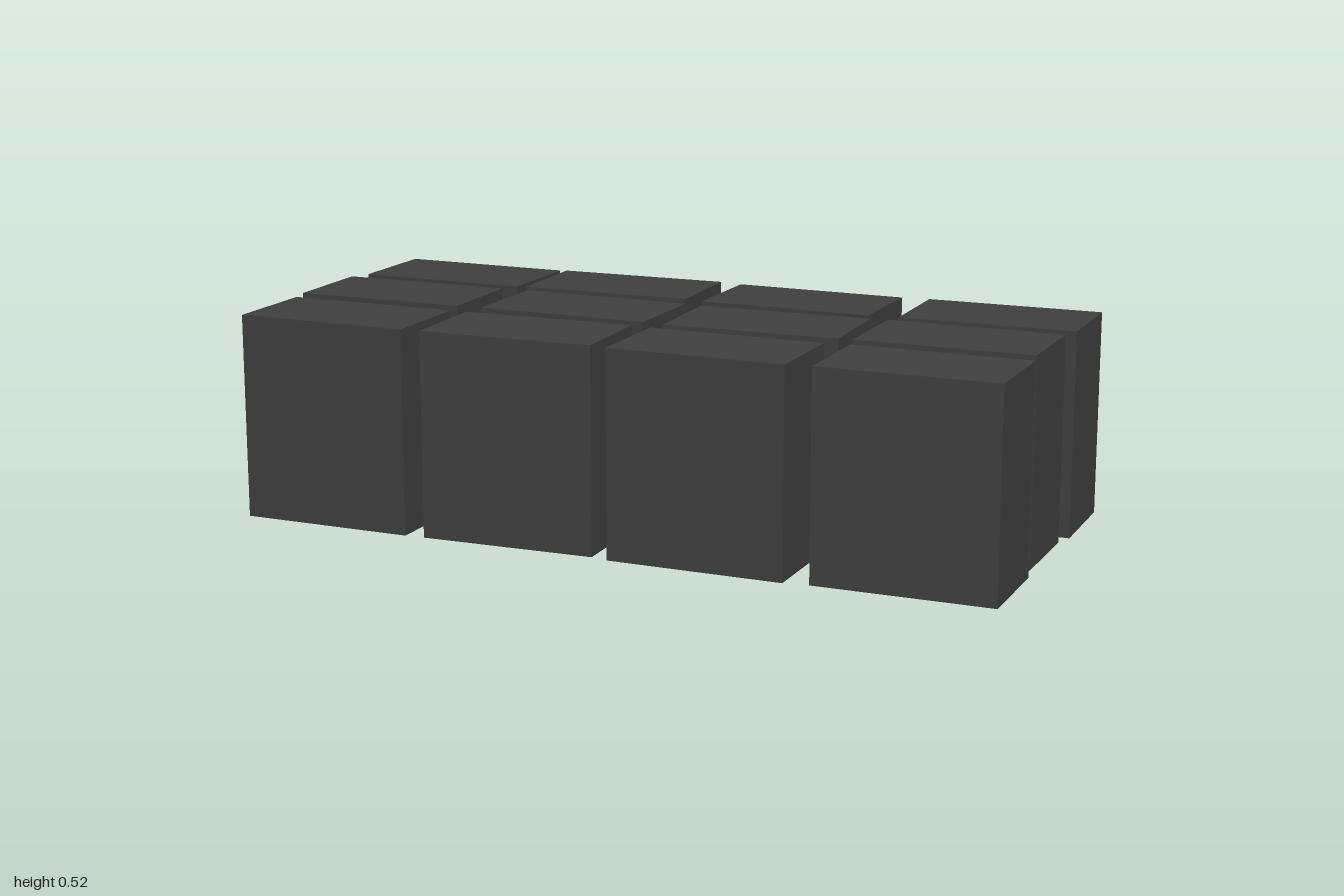
import * as THREE from 'three';

const WIDTH = 0.455, HEIGHT = 0.525, DEPTH = 0.26;

// Block placements, back row to front row: [x, z, turn about y]
const rows = {
  back: [[-0.746, -0.309, -0.012], [-0.27, -0.317, 0.02], [0.241, -0.305, -0.02], [0.771, -0.309, 0.006]],
  middle: [[-0.771, -0.006, 0.004], [-0.246, -0.007, -0.02], [0.261, 0.001, 0.02], [0.755, -0.006, -0.01]],
  front: [[-0.758, 0.311, -0.01], [-0.256, 0.306, 0.02], [0.248, 0.315, -0.014], [0.766, 0.311, -0.005]],
};

// Box standing on y = 0 with its underside left open
function openBlockGeometry() {
  const geometry = new THREE.BoxGeometry(WIDTH, HEIGHT, DEPTH);
  const index = Array.from(geometry.index.array);
  index.splice(18, 6); // the fourth side of a box is its bottom
  geometry.setIndex(index);
  geometry.clearGroups();
  return geometry.translate(0, HEIGHT / 2, 0);
}

export function createModel() {
  const model = new THREE.Group();
  model.name = 'blockGrid';
  const geometry = openBlockGeometry();
  const material = new THREE.MeshStandardMaterial({ color: 0x404040, side: THREE.DoubleSide });

  for (const [rowName, blocks] of Object.entries(rows)) {
    const row = new THREE.Group();
    row.name = `${rowName}Row`;
    blocks.forEach(([x, z, turn], i) => {
      const block = new THREE.Mesh(geometry, material);
      block.name = `${rowName}Block${i + 1}`;
      block.position.set(x, 0, z);
      block.rotation.y = turn;
      row.add(block);
    });
    model.add(row);
  }
  return model;
}
